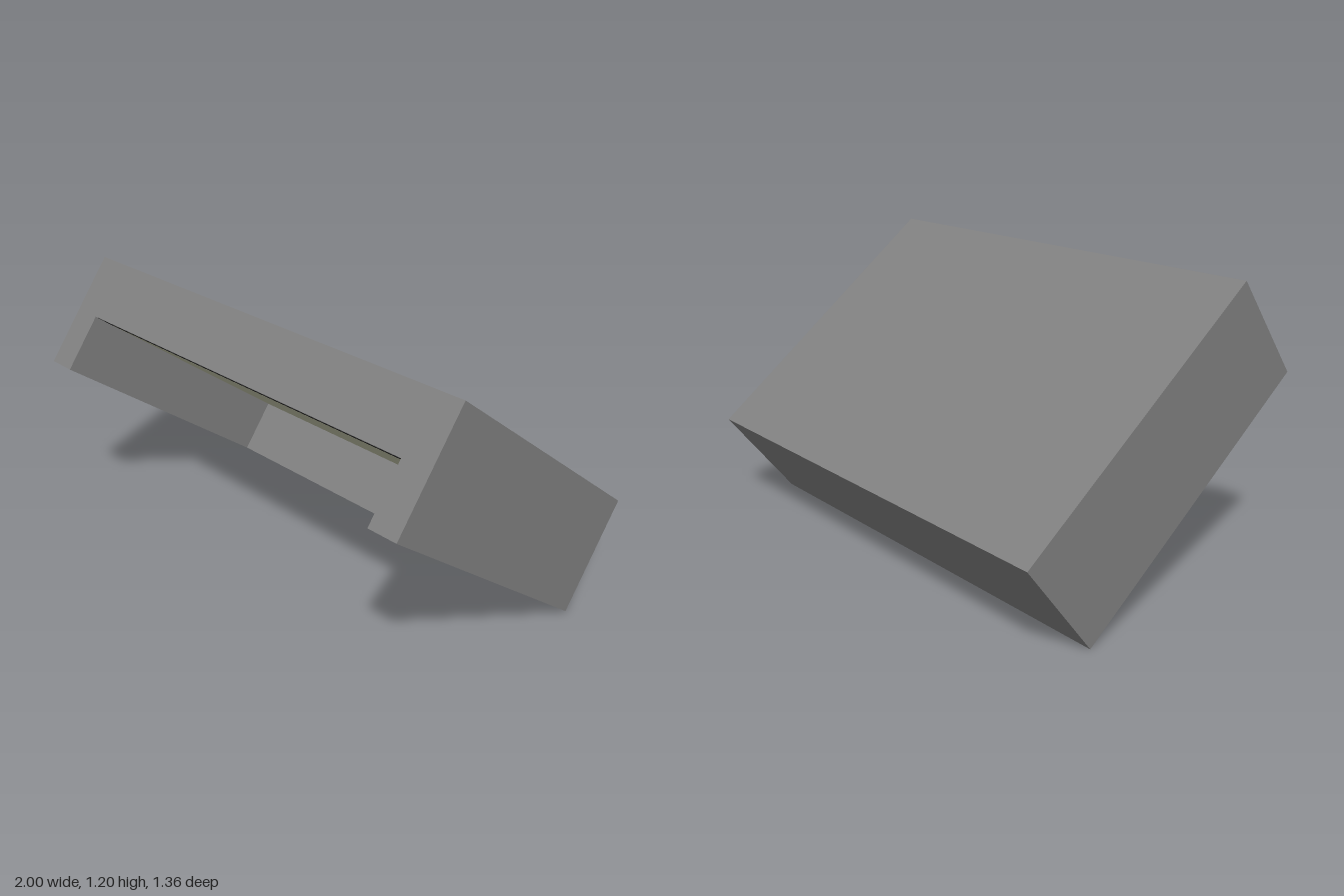
import * as THREE from 'three';

const W = 2, H = 0.5, L = 1.327;   // outer size of the housing
const WALL = 0.127;                // wall thickness
const TILT = THREE.MathUtils.degToRad(37.5);

export function createModel() {
  const grey = new THREE.MeshStandardMaterial({ color: 0x808080 });
  grey.name = 'housingGrey';
  const cream = new THREE.MeshStandardMaterial({ color: 0xbfc0a6 });
  cream.name = 'panelCream';
  const black = new THREE.MeshStandardMaterial({ color: 0x020204 });
  black.name = 'stripBlack';

  const model = new THREE.Group();
  model.name = 'tiltedHousing';
  const body = new THREE.Group();
  body.name = 'housing';
  model.add(body);

  const add = (name, geometry, material) => {
    const mesh = new THREE.Mesh(geometry, material);
    mesh.name = name;
    body.add(mesh);
    return mesh;
  };

  // Solid upper half
  add('upperSlab', new THREE.BoxGeometry(W, H / 2, L), grey).position.y = H / 4;

  // Lower half: U-shaped wall, open at the front
  const x = W / 2, z = L / 2, xi = x - WALL, zi = -z + WALL;
  const outline = new THREE.Shape([
    [-x, -z], [x, -z], [x, z], [xi, z], [xi, zi], [-xi, zi], [-xi, z], [-x, z],
  ].map(([a, b]) => new THREE.Vector2(a, b)));
  const walls = new THREE.ExtrudeGeometry(outline, { depth: H / 2, bevelEnabled: false });
  walls.rotateX(Math.PI / 2);
  add('lowerWalls', walls, grey);

  // Cavity ceiling: cream panel with a black strip along the open edge
  const ceiling = (name, z0, z1, material) => {
    const plate = new THREE.PlaneGeometry(2 * xi, z1 - z0).rotateX(Math.PI / 2);
    add(name, plate, material).position.set(0, -0.002, (z0 + z1) / 2);
  };
  const split = z - 0.084;
  ceiling('ceilingPanel', zi, split, cream);
  ceiling('frontStrip', split, z, black);

  // Tip the housing back and rest its lowest edge on the ground
  body.rotation.x = -TILT;
  body.position.y = (L * Math.sin(TILT) + H * Math.cos(TILT)) / 2;
  return model;
}
